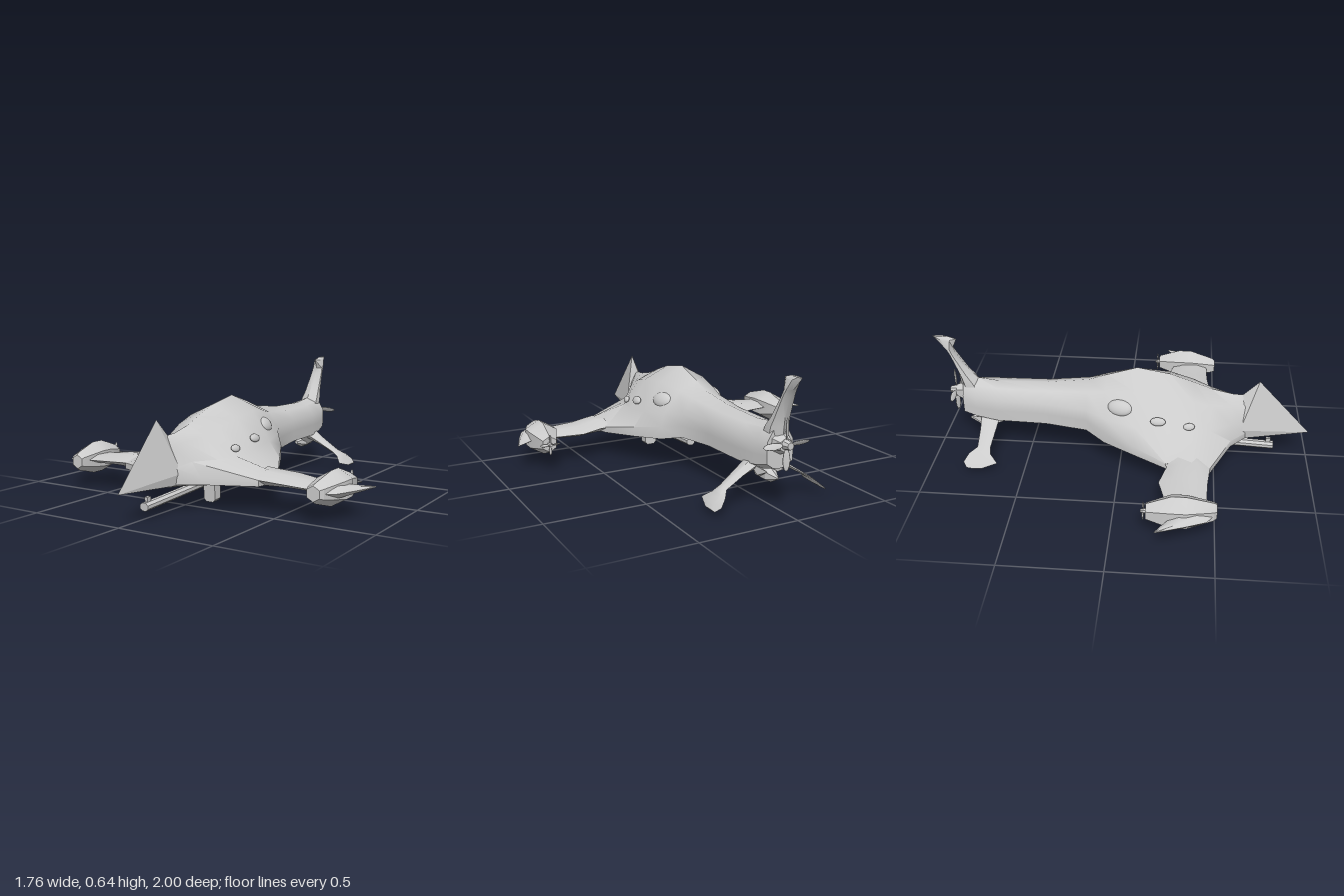
import * as THREE from 'three';
import { toCreasedNormals } from 'three/addons/utils/BufferGeometryUtils.js';
import { ConvexGeometry } from 'three/addons/geometries/ConvexGeometry.js';

const mat = new THREE.MeshStandardMaterial({ color: 0xcccccc });
const flat = new THREE.MeshStandardMaterial({ color: 0xcccccc, flatShading: true });
const V = (x, y, z) => new THREE.Vector3(x, y, z);

function add(parent, name, geo, material = mat) {
  const m = new THREE.Mesh(geo, material);
  m.name = name;
  parent.add(m);
  return m;
}

// Skin closed rings of points, cap both ends, and turn the faces outward
function loft(rings, crease = 0.7) {
  const n = rings[0].length, pts = rings.flat(), idx = [];
  for (let r = 0; r < rings.length - 1; r++) {
    for (let i = 0; i < n; i++) {
      const a = r * n + i, b = r * n + (i + 1) % n;
      idx.push(a, b, a + n, b, b + n, a + n);
    }
  }
  [0, rings.length - 1].forEach((r, end) => {
    const c = pts.length;
    pts.push(rings[r].reduce((s, p) => s.add(p), V(0, 0, 0)).divideScalar(n));
    for (let i = 0; i < n; i++) {
      const a = r * n + i, b = r * n + (i + 1) % n;
      if (end) idx.push(a, b, c); else idx.push(b, a, c);
    }
  });
  let volume = 0;
  for (let i = 0; i < idx.length; i += 3) {
    volume += pts[idx[i]].dot(pts[idx[i + 1]].clone().cross(pts[idx[i + 2]]));
  }
  if (volume < 0) idx.reverse();
  const g = new THREE.BufferGeometry().setFromPoints(pts);
  g.setIndex(idx);
  return toCreasedNormals(g, crease);
}

// Thin lens-section surface; stations are [x, y, zFront, zBack, half thickness]
function blade(stations, s, thick) {
  return loft(stations.map(([x, y, z0, z1, t]) =>
    [[0, 0], [0.3, 1], [0.7, 1], [1, 0], [0.7, -1], [0.3, -1]].map(([k, d]) =>
      V(s * x + thick.x * d * t, y + thick.y * d * t, z0 + (z1 - z0) * k))));
}

function propeller(parent, name, x, y, z, r, blades) {
  const g = new THREE.Group();
  g.name = name;
  g.position.set(x, y, z);
  add(g, 'propellerHub', new THREE.CylinderGeometry(r * 0.14, r * 0.26, r * 0.5, 8).rotateX(-Math.PI / 2), flat);
  for (let i = 0; i < blades; i++) {
    const geo = new THREE.SphereGeometry(1, 10, 6).scale(r * 0.14, r * 0.42, r * 0.03);
    geo.rotateY(0.6).translate(0, r * 0.58, 0).rotateZ(i * Math.PI * 2 / blades);
    add(g, 'propellerBlade', geo);
  }
  parent.add(g);
}

export function createModel() {
  const model = new THREE.Group();
  model.name = 'airship';

  // Hull: z, edge x, edge bottom y, edge top y, hip x, y, shoulder x, y, top y, belly y
  const hull = [
    [0.66, 0.07, 0.14, 0.17, 0.06, 0.22, 0.03, 0.31, 0.365, 0.12],
    [0.58, 0.15, 0.135, 0.17, 0.10, 0.24, 0.06, 0.33, 0.37, 0.118],
    [0.47, 0.40, 0.135, 0.165, 0.17, 0.24, 0.10, 0.35, 0.395, 0.115],
    [0.38, 0.40, 0.13, 0.20, 0.21, 0.25, 0.12, 0.38, 0.43, 0.115],
    [0.25, 0.38, 0.14, 0.17, 0.23, 0.26, 0.14, 0.41, 0.475, 0.12],
    [0.08, 0.29, 0.15, 0.20, 0.23, 0.28, 0.13, 0.43, 0.505, 0.135],
    [-0.08, 0.21, 0.165, 0.23, 0.19, 0.30, 0.10, 0.41, 0.455, 0.16],
    [-0.18, 0.14, 0.19, 0.25, 0.135, 0.31, 0.08, 0.39, 0.42, 0.18],
    [-0.40, 0.11, 0.20, 0.26, 0.11, 0.32, 0.065, 0.375, 0.395, 0.18],
    [-0.66, 0.10, 0.20, 0.26, 0.10, 0.32, 0.06, 0.375, 0.39, 0.18],
    [-0.78, 0.08, 0.21, 0.26, 0.08, 0.32, 0.045, 0.38, 0.405, 0.18],
    [-0.85, 0.07, 0.23, 0.27, 0.07, 0.33, 0.035, 0.39, 0.42, 0.20],
  ];
  add(model, 'hull', loft(hull.map(([z, ex, e0, e1, hx, hy, sx, sy, top, low]) => {
    const half = [[ex * 0.5, low + 0.005], [ex, e0], [ex, e1], [hx, hy], [sx, sy]];
    return [V(0, low, z), ...half.map(([x, y]) => V(x, y, z)), V(0, top, z),
      ...half.reverse().map(([x, y]) => V(-x, y, z))];
  }), 0.8));

  // Crested beak
  add(model, 'noseBeak', new ConvexGeometry([
    V(0, 0.15, 1), V(0, 0.45, 0.72), V(0, 0.35, 0.62), V(0, 0.12, 0.65),
    V(0.078, 0.19, 0.63), V(-0.078, 0.19, 0.63), V(0.065, 0.135, 0.65), V(-0.065, 0.135, 0.65),
  ]), flat);

  // Paired parts
  for (const s of [1, -1]) {
    const side = new THREE.Group();
    side.name = s > 0 ? 'leftSide' : 'rightSide';
    model.add(side);

    add(side, 'wing', blade([
      [0.36, 0.165, 0.475, 0.24, 0.036], [0.40, 0.165, 0.472, 0.255, 0.035],
      [0.52, 0.157, 0.46, 0.22, 0.028], [0.70, 0.148, 0.455, 0.27, 0.02],
    ], s, V(0, 1, 0)));

    // Hexagonal engine pod: z, x, radius
    const pod = [[0.505, 0.70, 0.037], [0.49, 0.705, 0.048], [0.36, 0.72, 0.085],
      [0.29, 0.72, 0.085], [0.17, 0.727, 0.042]];
    add(side, 'enginePod', loft(pod.map(([z, x, r]) => Array.from({ length: 6 }, (_, i) => {
      const a = i * Math.PI / 3;
      return V(s * x + r * Math.sin(a), 0.145 + r * Math.cos(a), z);
    })), 0.4));
    propeller(side, 'podPropeller', s * 0.728, 0.145, 0.158, 0.055, 4);
    add(side, 'podWinglet', blade([
      [0.74, 0.145, 0.49, 0.27, 0.035], [0.79, 0.145, 0.455, 0.275, 0.025],
      [0.83, 0.145, 0.36, 0.245, 0.014], [0.878, 0.145, 0.225, 0.215, 0.003],
    ], s, V(0, 1, 0)));

    // Drooping tail plane with a forked tip
    add(side, 'tailPlane', blade([
      [0.06, 0.20, -0.66, -0.76, 0.03], [0.13, 0.16, -0.67, -0.755, 0.018],
      [0.22, 0.105, -0.685, -0.755, 0.012], [0.25, 0.083, -0.68, -0.795, 0.011],
      [0.285, 0.05, -0.64, -0.82, 0.008], [0.308, 0.03, -0.715, -0.80, 0.003],
    ], s, V(0.5, 0.85, 0)));

    // Blister windows: x, y, z, half length, half height
    for (const [x, y, z, len, h, yaw] of [
      [0.158, 0.35, 0, 0.068, 0.042, 0.25], [0.215, 0.312, 0.2, 0.04, 0.022, 0.02],
      [0.203, 0.282, 0.36, 0.03, 0.019, -0.15],
    ]) {
      const w = add(side, 'blisterWindow', new THREE.SphereGeometry(1, 16, 10).scale(h * 0.6, h, len));
      w.position.set(s * x, y, z);
      w.rotation.set(0, s * yaw, s * 0.55);
    }

    // Small fin under the tail
    add(side, 'bellyFin', new ConvexGeometry([
      V(s * 0.02, 0.19, -0.62), V(s * 0.07, 0.20, -0.70), V(s * 0.03, 0.13, -0.73),
      V(s * 0.06, 0.15, -0.76), V(s * 0.045, 0.18, -0.82),
    ]), flat);
  }

  // Upright tail fin with a swept tip
  add(model, 'tailFin', blade([
    [0, 0.33, -0.72, -0.87, 0.05], [0, 0.40, -0.77, -0.875, 0.05], [0, 0.44, -0.81, -0.88, 0.043],
    [0, 0.55, -0.885, -0.915, 0.033], [0, 0.58, -0.895, -0.935, 0.03],
    [0, 0.63, -0.872, -0.985, 0.02], [0, 0.645, -0.92, -1, 0.008],
  ], 1, V(1, 0, 0)));

  // Rear motor and propeller
  const motor = add(model, 'rearMotor', new THREE.CylinderGeometry(0.06, 0.035, 0.06, 6).rotateX(Math.PI / 2), flat);
  motor.position.set(0, 0.32, -0.865);
  propeller(model, 'rearPropeller', 0, 0.325, -0.9, 0.125, 4);

  // Pointed pod below the tail
  add(model, 'tailPod', loft([[-0.64, 0.01], [-0.7, 0.035], [-0.78, 0.035], [-0.84, 0.004]].map(([z, r]) =>
    Array.from({ length: 6 }, (_, i) => V(r * Math.sin(i * Math.PI / 3), 0.148 + r * Math.cos(i * Math.PI / 3), z))), 0.3));

  // Long gun slung under the belly
  const gun = new THREE.Group();
  gun.name = 'bellyGun';
  gun.position.set(0, 0.082, 0.4);
  gun.rotation.x = 0.055;
  model.add(gun);
  add(gun, 'gunBarrel', new THREE.CylinderGeometry(0.025, 0.025, 0.84, 8).rotateY(Math.PI / 8).rotateX(Math.PI / 2).scale(1, 0.85, 1), flat);
  add(gun, 'gunSight', new THREE.BoxGeometry(0.016, 0.045, 0.025)).position.set(0, 0.02, 0.39);
  add(gun, 'gunMount', new THREE.BoxGeometry(0.04, 0.07, 0.08)).position.set(0, 0.03, -0.2);

  // Chamfered ammunition box beside the gun
  const a = 0.033, b = 0.057, c = 0.014;
  const outline = new THREE.Shape([[a, -b + c], [a, b - c], [a - c, b], [c - a, b],
    [-a, b - c], [-a, c - b], [c - a, -b], [a - c, -b]].map(([x, y]) => new THREE.Vector2(x, y)));
  const ammo = add(model, 'ammunitionBox', new THREE.ExtrudeGeometry(outline, { depth: 0.05, bevelEnabled: false }).translate(0, 0, -0.025));
  ammo.position.set(0.067, 0.061, 0.365);
  ammo.rotation.x = 0.055;

  return model;
}
